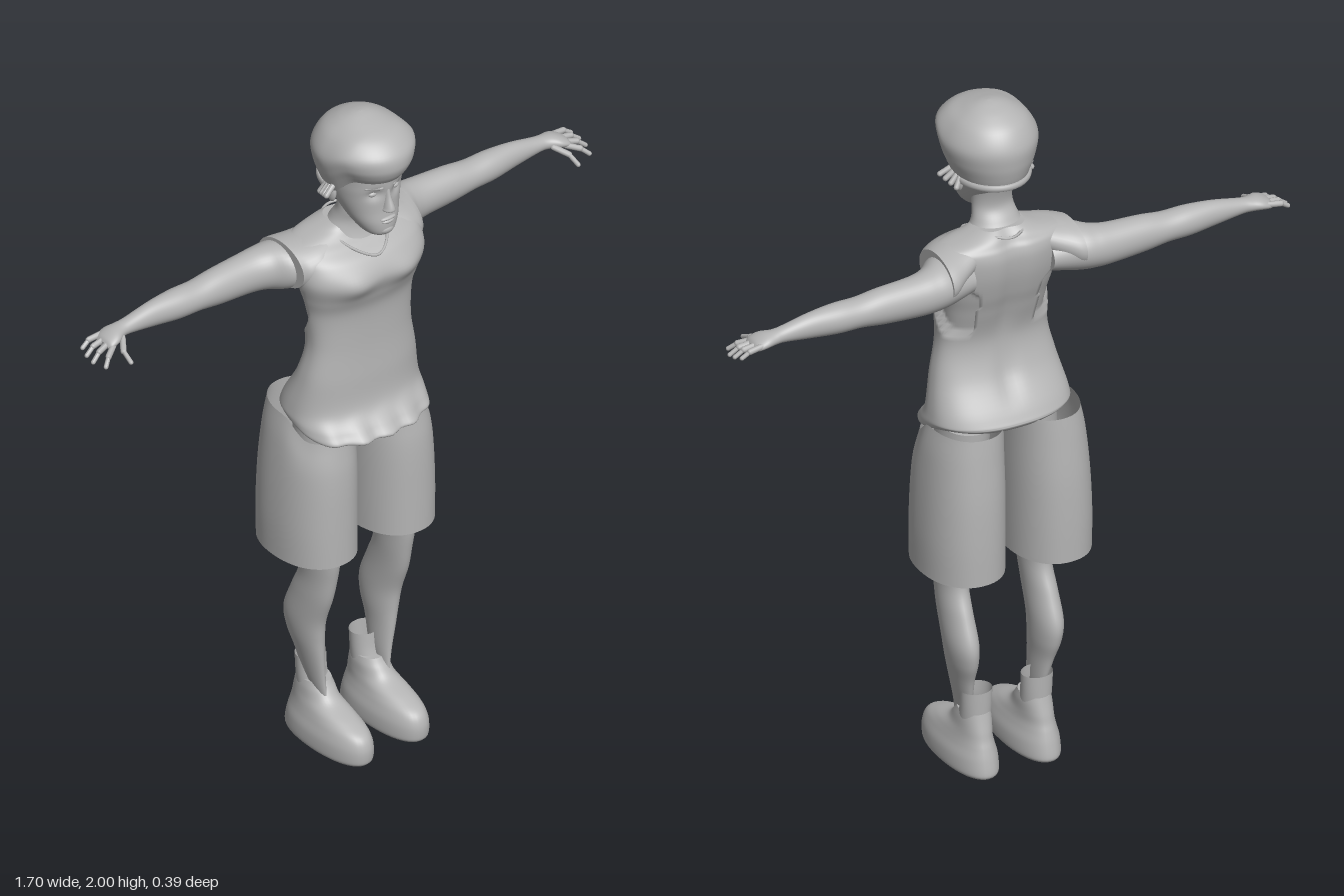
import * as THREE from 'three';

const grey = new THREE.MeshStandardMaterial({ color: 0xb4b4b4, side: THREE.DoubleSide });
grey.name = 'plain grey';

// Uniform Catmull-Rom blend between rows of numbers
function blend(rows, i, t) {
  const at = k => rows[Math.min(Math.max(k, 0), rows.length - 1)];
  const [a, b, c, d] = [at(i - 1), at(i), at(i + 1), at(i + 2)];
  return b.map((_, k) => {
    const m0 = (c[k] - a[k]) / 2, m1 = (d[k] - b[k]) / 2;
    return b[k] + m0 * t + (3 * (c[k] - b[k]) - 2 * m0 - m1) * t * t + (2 * (b[k] - c[k]) + m0 + m1) * t ** 3;
  });
}

// Smooth skin over cross-sections [y, centre x, half width, back z, front z]
function loft(rows, { n = 40, steps = 6, power = 2, caps = true, tweak } = {}) {
  const rings = [];
  for (let i = 0; i < rows.length - 1; i++)
    for (let s = 0; s < steps; s++) rings.push(blend(rows, i, s / steps));
  rings.push(rows[rows.length - 1]);
  const pos = [], idx = [], v = new THREE.Vector3();
  const round = c => Math.sign(c) * Math.abs(c) ** (2 / power);
  const ring = ([y, cx, hx, zb, zf]) => {
    for (let j = 0; j < n; j++) {
      const a = j / n * Math.PI * 2;
      v.set(cx + hx * round(Math.sin(a)), y, (zb + zf) / 2 + (zf - zb) / 2 * round(Math.cos(a)));
      if (tweak) tweak(v);
      pos.push(v.x, v.y, v.z);
    }
  };
  rings.forEach(ring);
  for (let i = 0; i < rings.length - 1; i++)
    for (let j = 0; j < n; j++) {
      const a = i * n + j, b = i * n + (j + 1) % n;
      idx.push(a, b, b + n, a, b + n, a + n);
    }
  if (caps) [rings[0], rings[rings.length - 1]].forEach((r, top) => {
    const start = pos.length / 3;
    ring(r);
    v.set(r[1], r[0], (r[3] + r[4]) / 2);
    if (tweak) tweak(v);
    pos.push(v.x, v.y, v.z);
    for (let j = 0; j < n; j++) {
      const a = start + j, b = start + (j + 1) % n;
      idx.push(start + n, top ? a : b, top ? b : a);
    }
  });
  const g = new THREE.BufferGeometry();
  g.setAttribute('position', new THREE.Float32BufferAttribute(pos, 3));
  g.setIndex(idx);
  g.computeVertexNormals();
  return g;
}

// Capsule from point a to point b
function rod(a, b, r) {
  const p = new THREE.Vector3(...a), d = new THREE.Vector3(...b).sub(p);
  const g = new THREE.CapsuleGeometry(r, d.length(), 5, 10);
  g.applyQuaternion(new THREE.Quaternion().setFromUnitVectors(new THREE.Vector3(0, 1, 0), d.clone().normalize()));
  return g.translate(p.x + d.x / 2, p.y + d.y / 2, p.z + d.z / 2);
}

function ball(x, y, z, rx, ry, rz) {
  return new THREE.SphereGeometry(1, 20, 14).scale(rx, ry, rz).translate(x, y, z);
}

function mirrored(geo) {
  const g = geo.clone().scale(-1, 1, 1), i = g.index.array;
  for (let k = 0; k < i.length; k += 3) [i[k], i[k + 1]] = [i[k + 1], i[k]];
  g.computeVertexNormals();
  return g;
}

export function createModel() {
  const model = new THREE.Group();
  model.name = 'figure';
  const add = (name, geo) => {
    const m = new THREE.Mesh(geo, grey);
    m.name = name;
    model.add(m);
  };
  const pair = (name, geo) => { add(name + 'Left', geo); add(name + 'Right', mirrored(geo)); };
  const smooth = THREE.MathUtils.smoothstep;

  // Sleeveless shirt: gathered slanting hem, chest, sunken armholes
  add('shirt', loft([
    [1.012, 0, 0.17, -0.135, 0.14], [1.025, 0, 0.2, -0.145, 0.165], [1.05, 0, 0.207, -0.148, 0.145],
    [1.1, 0, 0.204, -0.138, 0.108], [1.2, 0, 0.184, -0.078, 0.1], [1.3, 0, 0.165, -0.055, 0.096],
    [1.4, 0, 0.173, -0.08, 0.1], [1.46, 0, 0.188, -0.1, 0.118], [1.52, 0, 0.203, -0.115, 0.135],
    [1.57, 0, 0.203, -0.12, 0.11], [1.6, 0, 0.2, -0.115, 0.07], [1.617, 0, 0.18, -0.105, 0.045],
    [1.635, 0, 0.11, -0.095, 0.035], [1.65, 0, 0.07, -0.08, 0.035],
  ], { n: 96, steps: 7, power: 2.4, tweak: v => {
    const low = 1 - smooth(v.y, 1.01, 1.1), front = smooth(v.z, 0, 0.1);
    v.y += 0.05 * low * (1 - smooth(v.z, -0.1, 0.12));
    v.z += 0.007 * low * front * Math.cos(v.x * 75);
    v.z += 0.012 * front * Math.exp(-(((Math.abs(v.x) - 0.085) / 0.05) ** 2) - ((v.y - 1.505) / 0.035) ** 2);
    v.z += 0.012 * (1 - smooth(v.z, -0.08, -0.03)) * Math.exp(-((v.x / 0.03) ** 2)) * smooth(v.y, 1.1, 1.2);
    const hole = ((v.z + 0.035) / 0.06) ** 2 + ((v.y - 1.45) / 0.12) ** 2;
    if (Math.abs(v.x) > 0.1) v.x -= Math.sign(v.x) * 0.02 * (1 - smooth(hole, 0.8, 1.05));
  } }));
  // Neckline edge
  const neckline = [[-0.085, 1.64, -0.03], [-0.06, 1.6, 0.07], [0, 1.575, 0.108], [0.06, 1.6, 0.07], [0.085, 1.64, -0.03], [0, 1.635, -0.1]];
  add('neckline', new THREE.TubeGeometry(new THREE.CatmullRomCurve3(
    neckline.map(p => new THREE.Vector3(...p)), true), 60, 0.004, 6, true));
  // Shoulder edges of the shirt
  pair('shoulderEdge', loft([
    [0.1, -1.59, 0.045, -0.1, 0.05], [0.15, -1.57, 0.055, -0.125, 0.065],
    [0.185, -1.555, 0.064, -0.145, 0.06], [0.205, -1.55, 0.066, -0.15, 0.045],
  ]).rotateZ(-Math.PI / 2));

  // Arms, laid out along x
  pair('arm', loft([
    [0.12, -1.535, 0.05, -0.12, 0.02], [0.2, -1.538, 0.066, -0.145, 0.015], [0.25, -1.535, 0.062, -0.148, -0.025],
    [0.3, -1.533, 0.058, -0.146, -0.042], [0.4, -1.533, 0.052, -0.14, -0.047], [0.47, -1.533, 0.043, -0.136, -0.05],
    [0.54, -1.534, 0.043, -0.134, -0.053], [0.62, -1.535, 0.036, -0.125, -0.064], [0.7, -1.532, 0.023, -0.118, -0.071],
    [0.73, -1.53, 0.02, -0.12, -0.068], [0.76, -1.527, 0.019, -0.126, -0.052], [0.785, -1.52, 0.015, -0.122, -0.05],
    [0.795, -1.516, 0.008, -0.11, -0.06],
  ]).rotateZ(-Math.PI / 2));
  // Fingers and thumb: knuckle, joint, tip
  [
    [[0.775, 1.525, -0.115], [0.815, 1.52, -0.118], [0.838, 1.505, -0.115]],
    [[0.78, 1.522, -0.095], [0.82, 1.515, -0.092], [0.845, 1.497, -0.088]],
    [[0.78, 1.52, -0.075], [0.82, 1.51, -0.066], [0.845, 1.49, -0.06]],
    [[0.775, 1.518, -0.06], [0.81, 1.505, -0.038], [0.83, 1.487, -0.024]],
    [[0.74, 1.523, -0.066], [0.765, 1.508, -0.03], [0.768, 1.492, 0.006]],
  ].forEach(([a, b, c], i) => {
    pair('fingerBase' + i, rod(a, b, 0.0085));
    pair('fingerTip' + i, rod(b, c, 0.0065));
  });

  // Neck and head
  add('neck', loft([
    [1.56, 0, 0.09, -0.08, 0.08], [1.62, 0, 0.085, -0.078, 0.055], [1.66, 0, 0.066, -0.055, 0.05],
    [1.7, 0, 0.058, -0.033, 0.06], [1.76, 0, 0.06, -0.045, 0.07], [1.8, 0, 0.07, -0.065, 0.07],
  ]));
  add('head', loft([
    [1.655, 0, 0.018, 0.08, 0.13], [1.667, 0, 0.042, 0.05, 0.15], [1.7, 0, 0.064, 0.01, 0.154],
    [1.74, 0, 0.08, -0.03, 0.15], [1.78, 0, 0.091, -0.06, 0.15], [1.82, 0, 0.096, -0.075, 0.154],
    [1.88, 0, 0.095, -0.075, 0.15], [1.93, 0, 0.05, -0.02, 0.1],
  ], { n: 64, power: 2.15, tweak: v => {
    // Sunken eye sockets
    if (v.z > 0.08) v.z -= 0.012 * Math.exp(-(((Math.abs(v.x) - 0.037) / 0.02) ** 2) - ((v.y - 1.798) / 0.016) ** 2);
  } }));
  add('nose', loft([
    [1.737, 0, 0.008, 0.13, 0.155], [1.745, 0, 0.018, 0.13, 0.172], [1.755, 0, 0.015, 0.13, 0.173],
    [1.785, 0, 0.009, 0.13, 0.16], [1.815, 0, 0.008, 0.13, 0.152],
  ], { n: 20 }));
  add('upperLip', ball(0, 1.716, 0.15, 0.026, 0.006, 0.009));
  add('lowerLip', ball(0, 1.706, 0.149, 0.021, 0.007, 0.01));
  add('chin', ball(0, 1.678, 0.138, 0.026, 0.016, 0.018));
  pair('eye', ball(0.037, 1.797, 0.128, 0.015, 0.009, 0.011));
  pair('brow', rod([0.02, 1.818, 0.147], [0.058, 1.82, 0.128], 0.006));
  pair('ear', ball(0.095, 1.775, 0.025, 0.01, 0.03, 0.018));

  // Rounded cap of hair, rim higher over the face
  add('hairCap', loft([
    [1.78, 0, 0.1, -0.09, 0.17], [1.81, 0, 0.113, -0.1, 0.185], [1.85, 0, 0.128, -0.108, 0.194], [1.9, 0, 0.134, -0.108, 0.187],
    [1.95, 0, 0.107, -0.082, 0.15], [1.98, 0, 0.068, -0.04, 0.1], [1.995, 0, 0.033, 0, 0.06], [2, 0, 0.004, 0.026, 0.034],
  ], { n: 64, tweak: v => {
    const rim = 1.785 + 0.06 * smooth(v.z, 0.03, 0.12);
    v.y = rim + (v.y - 1.78) / 0.22 * (2 - rim);
  } }));
  // Band and side tufts
  add('hairBand', new THREE.TorusGeometry(1, 0.05, 8, 40, Math.PI).rotateX(-Math.PI / 2)
    .scale(0.103, 0.2, 0.115).translate(0, 1.79, 0.02));
  for (let i = 0; i < 4; i++)
    pair('tuft' + i, rod([0.1, 1.815 - i * 0.006, 0.045 - i * 0.012], [0.136 - i * 0.007, 1.793 - i * 0.007, 0.055 - i * 0.018], 0.008));

  // Wide open shorts, rim slanting down to the front
  pair('shortsLeg', loft([
    [0.635, 0.133, 0.115, -0.19, 0.122], [0.75, 0.133, 0.116, -0.191, 0.122], [0.88, 0.13, 0.113, -0.188, 0.12],
    [1, 0.125, 0.106, -0.179, 0.112], [1.075, 0.118, 0.098, -0.172, 0.105],
  ], { n: 56, power: 2.2, caps: false, tweak: v => {
    v.y -= 0.055 * smooth(v.y, 0.9, 1.075) * smooth(v.z, -0.03, 0.06);
  } }));

  // Legs
  pair('leg', loft([
    [1.05, 0.1, 0.07, -0.1, 0.08], [0.85, 0.115, 0.068, -0.085, 0.09], [0.7, 0.125, 0.052, -0.065, 0.092],
    [0.62, 0.128, 0.044, -0.06, 0.09], [0.55, 0.128, 0.04, -0.06, 0.078], [0.48, 0.13, 0.04, -0.09, 0.062],
    [0.4, 0.13, 0.041, -0.122, 0.033], [0.34, 0.127, 0.037, -0.118, 0.024], [0.28, 0.122, 0.028, -0.095, 0.021],
    [0.2, 0.113, 0.018, -0.07, 0.018], [0.14, 0.108, 0.008, -0.03, 0.02],
  ].reverse()));

  // Boots: foot and open cuff
  pair('boot', loft([
    [0, 0.095, 0.062, -0.145, 0.172], [0.012, 0.095, 0.07, -0.15, 0.18], [0.05, 0.095, 0.069, -0.143, 0.18],
    [0.082, 0.095, 0.06, -0.134, 0.163], [0.105, 0.095, 0.053, -0.126, 0.115], [0.13, 0.094, 0.047, -0.12, 0.045],
    [0.16, 0.093, 0.044, -0.112, 0.014], [0.18, 0.093, 0.04, -0.107, 0],
  ], { power: 2.2 }));
  pair('bootCuff', loft([
    [0.16, 0.093, 0.043, -0.105, -0.015], [0.2, 0.093, 0.044, -0.106, -0.025], [0.245, 0.093, 0.045, -0.107, -0.03],
  ], { caps: false }));

  return model;
}
